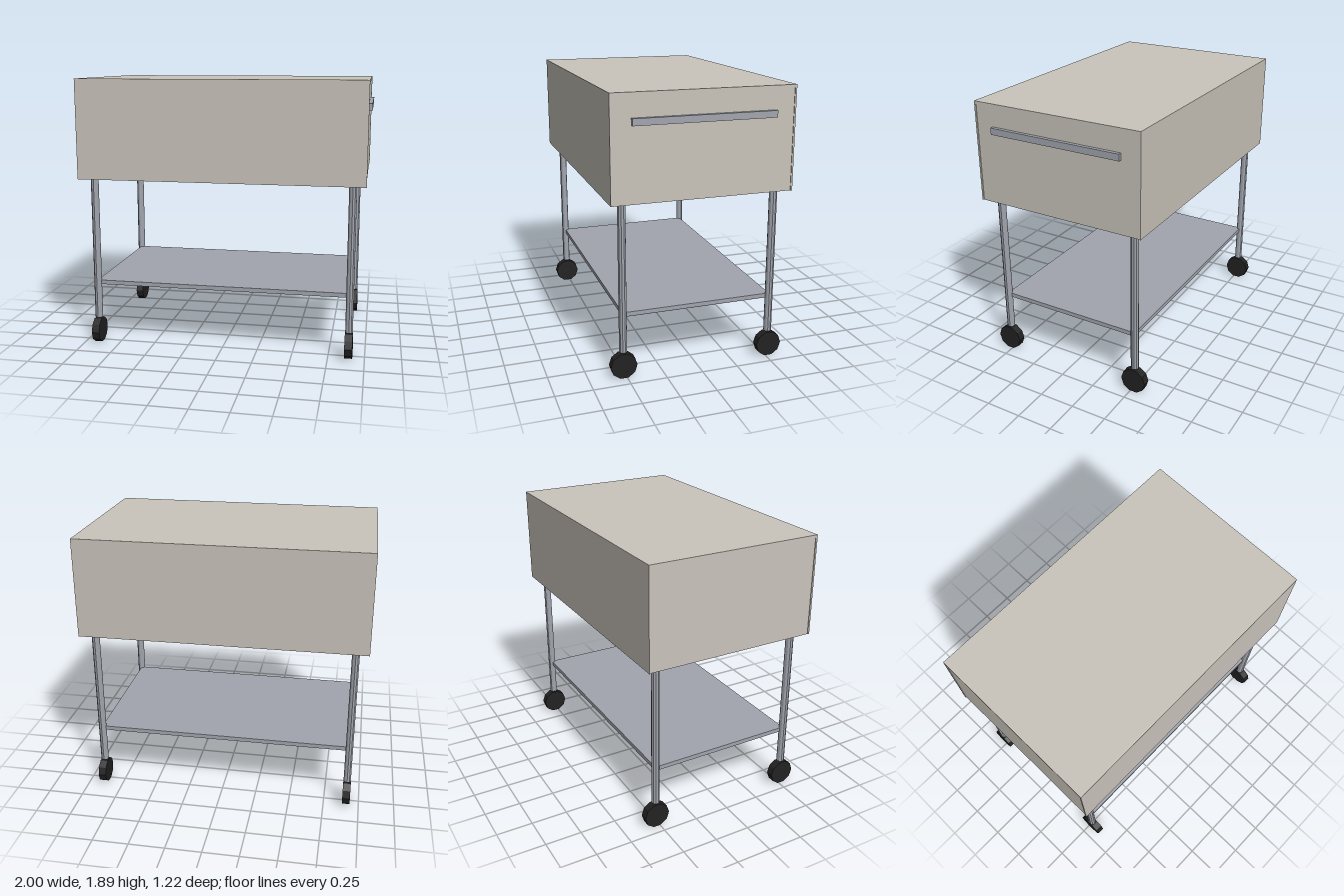
import * as THREE from 'three';

export function createModel() {
  const model = new THREE.Group();
  const paint = (name, color) => {
    const m = new THREE.MeshStandardMaterial({ color });
    m.name = name;
    return m;
  };
  const beige = paint('beige panel', 0xc9c4bb);
  const steel = paint('steel', 0xa1a5ae);
  const rubber = paint('black rubber', 0x222222);
  steel.flatShading = rubber.flatShading = true;

  const add = (name, geometry, material, x, y, z) => {
    const mesh = new THREE.Mesh(geometry, material);
    mesh.name = name;
    mesh.position.set(x, y, z);
    model.add(mesh);
  };
  // Box given by its lower and upper corners
  const slab = (name, material, [x0, y0, z0], [x1, y1, z1]) =>
    add(name, new THREE.BoxGeometry(x1 - x0, y1 - y0, z1 - z0), material,
      (x0 + x1) / 2, (y0 + y1) / 2, (z0 + z1) / 2);

  const cx = -0.01; // the handle shifts the cabinet off centre
  const t = 0.012;  // panel thickness

  // Hood: open underneath, end panels set slightly in
  slab('frontPanel', beige, [-1, 1.2, 0.61 - t], [0.98, 1.89, 0.61]);
  slab('backPanel', beige, [-1, 1.2, -0.61], [0.98, 1.89, -0.61 + t]);
  slab('topPanel', beige, [-1, 1.87, -0.61 + t], [0.98, 1.89, 0.61 - t]);
  slab('leftEndPanel', beige, [0.975 - t, 1.2, -0.61 + t], [0.975, 1.87, 0.61 - t]);
  slab('rightEndPanel', beige, [-0.995, 1.2, -0.61 + t], [-0.995 + t, 1.87, 0.61 - t]);
  slab('handle', steel, [0.975, 1.69, -0.475], [1, 1.735, 0.475]);

  // Trays carried by the legs
  for (const [name, y] of [['lowerShelf', 0.425], ['upperShelf', 1.78]])
    slab(name, steel, [cx - 0.9, y, -0.52], [cx + 0.9, y + 0.03, 0.52]);

  // Legs and ten-sided wheels
  const legShape = new THREE.CylinderGeometry(0.027, 0.027, 1.59, 10);
  const wheelShape = new THREE.CylinderGeometry(0.09, 0.09, 0.054, 10).rotateZ(Math.PI / 2);
  for (const sx of [-1, 1]) {
    for (const sz of [-1, 1]) {
      const place = (sz > 0 ? 'front' : 'back') + (sx > 0 ? 'Left' : 'Right');
      add(place + 'Leg', legShape, steel, cx + sx * 0.9, 0.975, sz * 0.52);
      add(place + 'Wheel', wheelShape, rubber, cx + sx * 0.9, 0.0856, sz * 0.52);
    }
  }
  return model;
}
